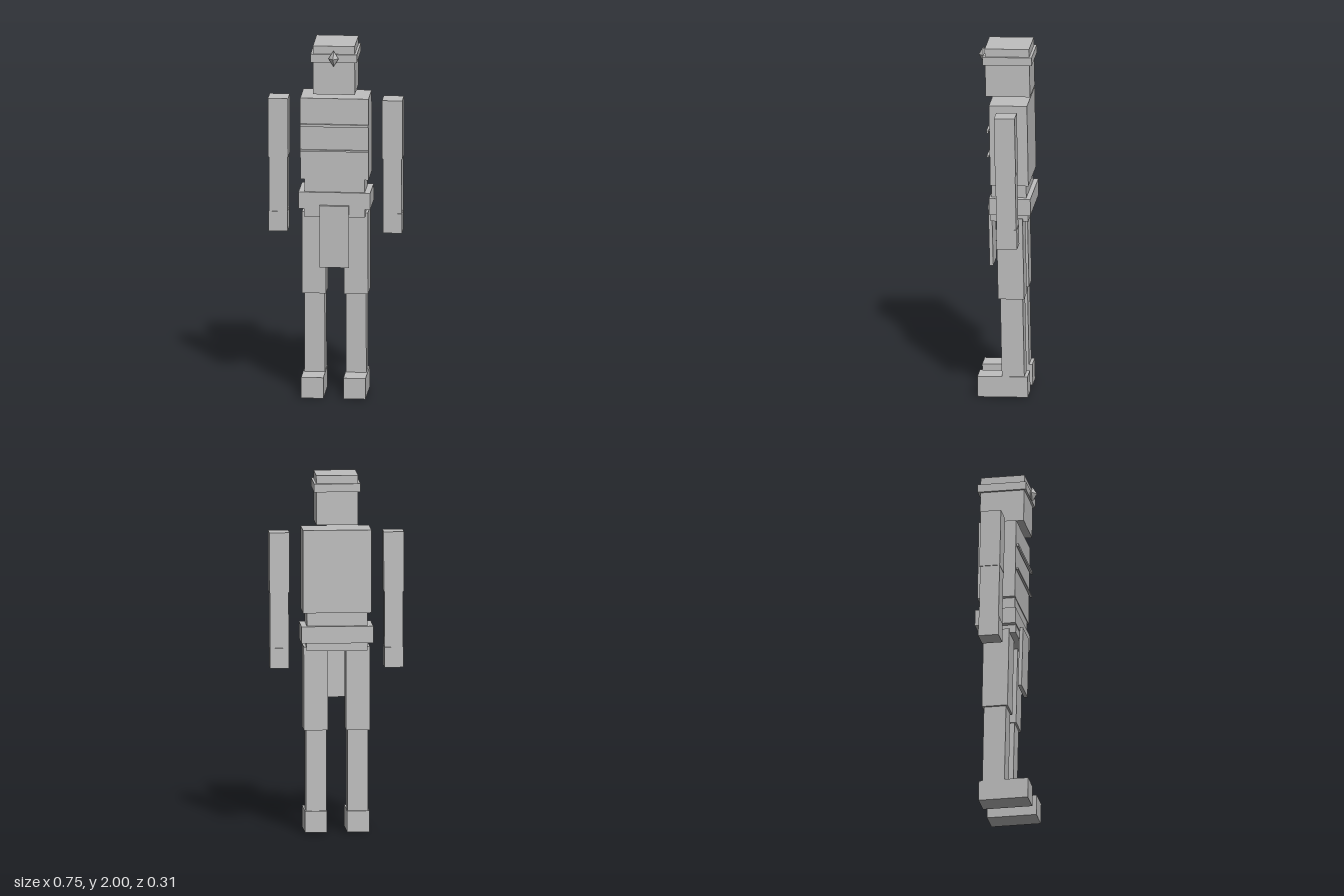
import * as THREE from 'three';

export function createModel() {
  const model = new THREE.Group();
  model.name = 'blockFigure';
  const stone = new THREE.MeshStandardMaterial({ color: 0xbfbfbf, flatShading: true });
  stone.name = 'plain grey';

  // Box from its extents in y and z at its middle, leaning forward by tilt.
  const box = (name, x, width, y0, y1, z0, z1, tilt = 0.02) => {
    const mesh = new THREE.Mesh(new THREE.BoxGeometry(width, y1 - y0, z1 - z0), stone);
    mesh.name = name;
    mesh.position.set(x, (y0 + y1) / 2, (z0 + z1) / 2);
    mesh.rotation.x = tilt;
    model.add(mesh);
    return mesh;
  };

  // Head with its band and gem
  box('head', 0, 0.232, 1.722, 1.998, -0.14, 0.107);
  box('headband', 0, 0.257, 1.907, 1.953, -0.153, 0.12);
  const gem = new THREE.Mesh(new THREE.OctahedronGeometry(1), stone);
  gem.name = 'headbandGem';
  gem.scale.set(0.028, 0.046, 0.026);
  gem.position.set(0, 1.929, 0.13);
  model.add(gem);

  // Torso with two chest strips
  box('torso', 0, 0.379, 1.23, 1.692, -0.138, 0.074, 0.017);
  box('upperChestStrip', 0, 0.379, 1.53, 1.545, 0.08, 0.092);
  box('lowerChestStrip', 0, 0.379, 1.39, 1.399, 0.078, 0.09);

  // Waist, belt, hips and hanging front cloth
  box('waist', 0, 0.335, 1.1, 1.235, -0.128, 0.065);
  box('hips', 0, 0.338, 1.018, 1.13, -0.138, 0.072);
  box('belt', 0, 0.398, 1.063, 1.157, -0.154, 0.076, 0.01);
  box('frontCloth', 0, 0.163, 0.732, 1.083, 0.07, 0.09, 0.025);

  // Limbs on both sides
  for (const [side, s] of [['left', 1], ['right', -1]]) {
    box(side + 'UpperArm', s * 0.317, 0.112, 1.34, 1.674, -0.089, 0.026);
    box(side + 'Forearm', s * 0.317, 0.103, 1.03, 1.34, -0.092, 0.018);
    box(side + 'Hand', s * 0.317, 0.105, 0.918, 1.03, -0.099, 0.016);
    box(side + 'Thigh', s * 0.117, 0.133, 0.572, 1.037, -0.113, 0.032);
    box(side + 'Shin', s * 0.115, 0.113, 0.115, 0.575, -0.113, 0.012);
    box(side + 'Foot', s * 0.117, 0.123, 0.003, 0.121, -0.137, 0.142);
  }
  return model;
}
